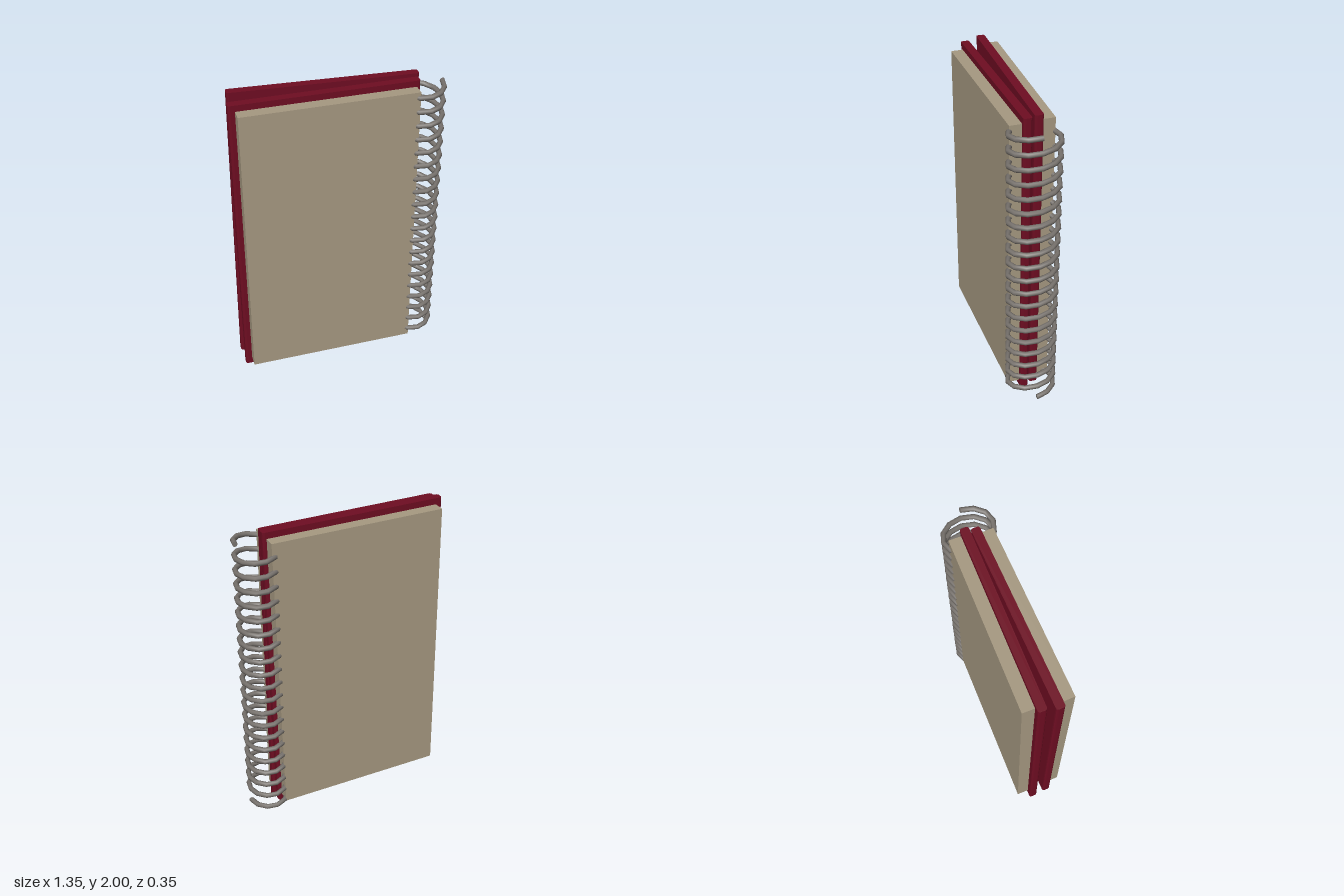
import * as THREE from 'three';

const coverMat = new THREE.MeshStandardMaterial({ name: 'dark red', color: 0x6e0d22 });
const paperMat = new THREE.MeshStandardMaterial({ name: 'beige paper', color: 0xa69981 });
const wireMat = new THREE.MeshStandardMaterial({ name: 'grey wire', color: 0x77726d });

const COVER = { w: 1.165, h: 1.965, d: 0.054 };
const PAGES = { w: 1.1, h: 1.88, d: 0.076 };

function addMesh(parent, name, geometry, material) {
  const mesh = new THREE.Mesh(geometry, material);
  mesh.name = name;
  parent.add(mesh);
  return mesh;
}

// Board with rounded upright edges, extruded along y and centred on the origin
function boardGeometry({ w, h, d }, r = 0.015) {
  const x = w / 2, y = d / 2;
  const s = new THREE.Shape();
  s.moveTo(-x + r, -y);
  s.lineTo(x - r, -y);
  s.quadraticCurveTo(x, -y, x, -y + r);
  s.lineTo(x, y - r);
  s.quadraticCurveTo(x, y, x - r, y);
  s.lineTo(-x + r, y);
  s.quadraticCurveTo(-x, y, -x, y - r);
  s.lineTo(-x, -y + r);
  s.quadraticCurveTo(-x, -y, -x + r, -y);
  const g = new THREE.ExtrudeGeometry(s, { depth: h, bevelEnabled: false, curveSegments: 3 });
  return g.translate(0, 0, -h / 2).rotateX(-Math.PI / 2);
}

// Cover with its block of pages on the side given by the sign of z
function bookHalf(name, side) {
  const half = new THREE.Group();
  half.name = name;
  addMesh(half, name + 'Cover', boardGeometry(COVER), coverMat);
  const pages = addMesh(half, name + 'Pages', new THREE.BoxGeometry(PAGES.w, PAGES.h, PAGES.d), paperMat);
  pages.position.set(0.009, 0.003, side * (COVER.d + PAGES.d) / 2);
  return half;
}

// Oval helix descending from the outer side
class Coil extends THREE.Curve {
  getPoint(t, target = new THREE.Vector3()) {
    const a = t * TURNS * Math.PI * 2;
    return target.set(0.537 + 0.124 * Math.cos(a), 1.92 - 1.88 * t, 0.154 * Math.sin(a));
  }
  getUtoTmapping(u) { return u; }
}
const TURNS = 20;

export function createModel() {
  const model = new THREE.Group();
  model.name = 'spiralNotebook';

  const front = bookHalf('front', 1);
  front.position.set(-0.082, 0.9825, 0.027);
  model.add(front);

  // Folded-back half sits slightly askew
  const back = bookHalf('back', -1);
  back.position.set(-0.08, 1.0075, -0.057);
  back.rotation.set(0.003, -0.034, -0.0135);
  model.add(back);

  // Wire binding with flat cut ends
  const coil = new Coil();
  const R = 0.0165;
  addMesh(model, 'spiralBinding', new THREE.TubeGeometry(coil, TURNS * 12, R, 8), wireMat);
  for (const t of [0, 1]) {
    const end = addMesh(model, 'wireEnd', new THREE.CircleGeometry(R, 8), wireMat);
    const p = coil.getPoint(t);
    end.position.copy(p);
    end.lookAt(p.clone().addScaledVector(coil.getTangent(t), t ? 1 : -1));
  }
  return model;
}
